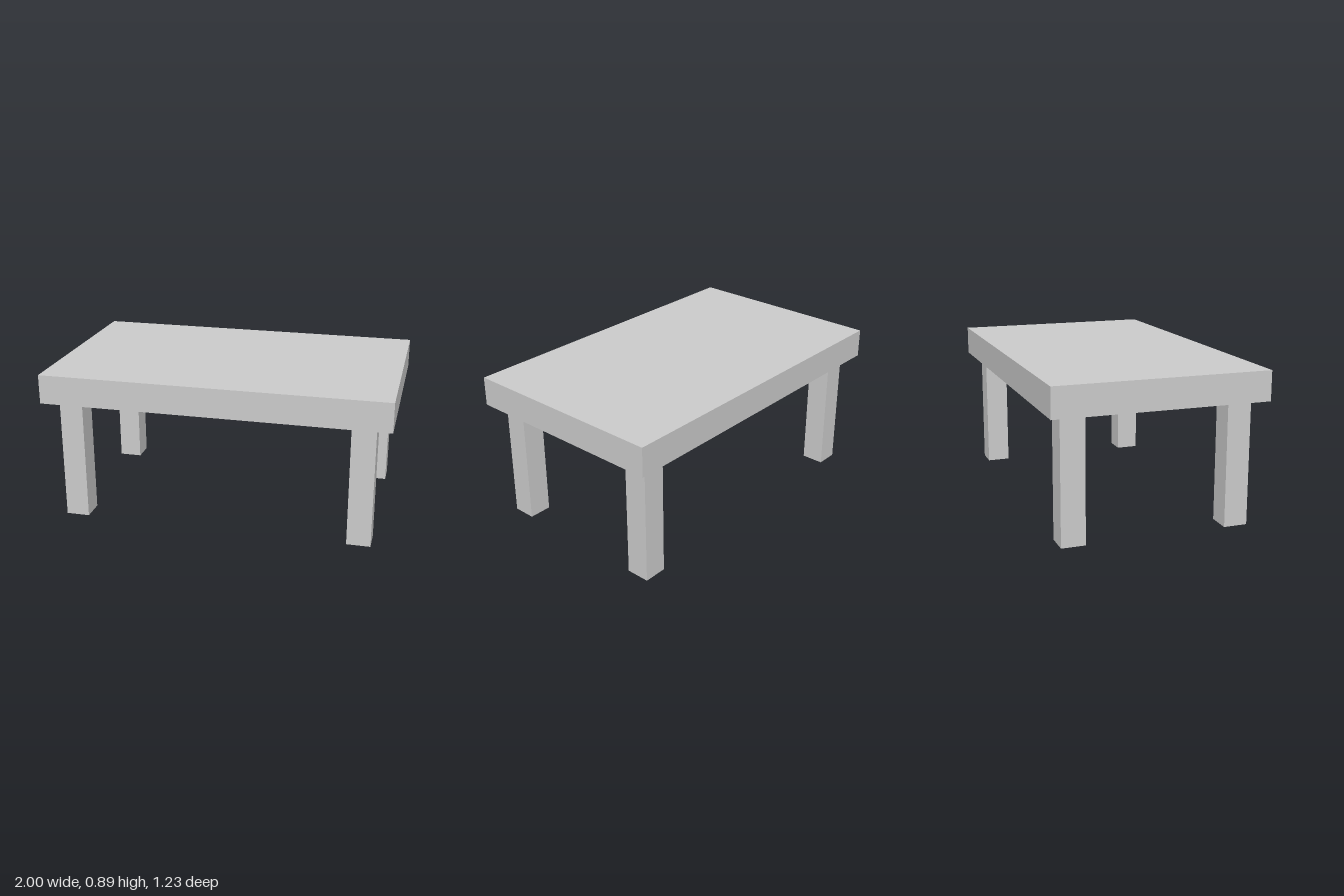
import * as THREE from 'three';

export function createModel() {
  const model = new THREE.Group();
  model.name = 'table';
  const material = new THREE.MeshStandardMaterial({ color: 0xcccccc, flatShading: true });

  const addBox = (name, size, position) => {
    const mesh = new THREE.Mesh(new THREE.BoxGeometry(...size), material);
    mesh.name = name;
    mesh.position.set(...position);
    model.add(mesh);
  };

  // Thick slab top
  const height = 0.89, legHeight = 0.72;
  const slab = height - legHeight;
  addBox('tableTop', [2, slab, 1.225], [0, legHeight + slab / 2, 0]);

  // Four square legs, set in from the corners
  for (const [side, x] of [['Left', 0.843], ['Right', -0.843]]) {
    for (const [end, z] of [['front', 0.474], ['back', -0.472]]) {
      addBox(`${end}${side}Leg`, [0.137, legHeight, 0.137], [x, legHeight / 2, z]);
    }
  }

  return model;
}
